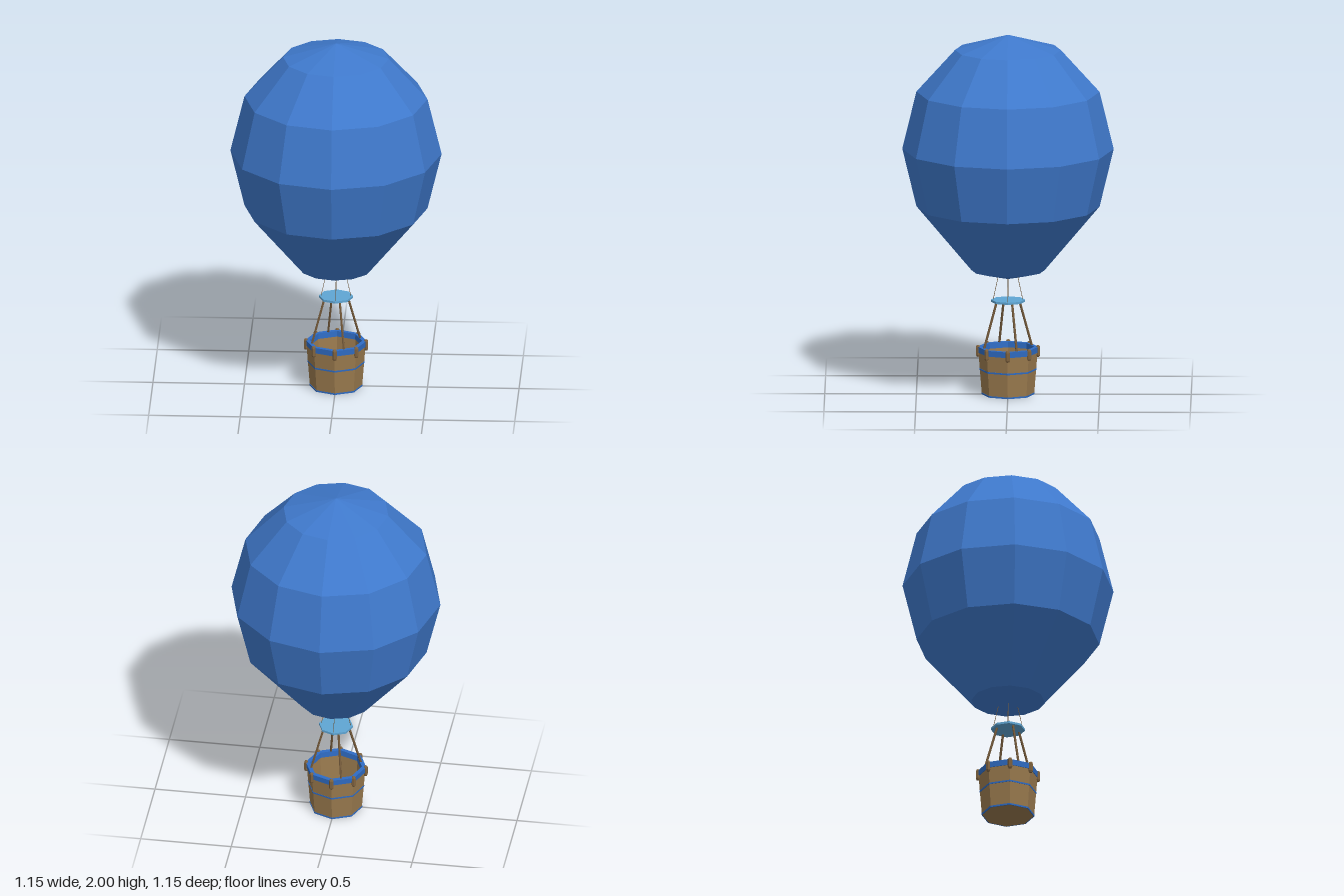
import * as THREE from 'three';

function material(name, color, side = THREE.FrontSide) {
  const m = new THREE.MeshStandardMaterial({ color, flatShading: true, side });
  m.name = name;
  return m;
}

export function createModel() {
  const root = new THREE.Group();
  root.name = 'hotAirBalloon';

  const envelopeBlue = material('envelope blue', 0x3f79cc);
  const trimBlue = material('trim blue', 0x2f6cc4);
  const plateBlue = material('plate light blue', 0x5fa6d4);
  const wicker = material('basket brown', 0x9a7a4e);
  const wood = material('peg brown', 0x80633f);
  const rope = material('rope brown', 0x73593a);

  const add = (name, geometry, mat, parent = root) => {
    const mesh = new THREE.Mesh(geometry, mat);
    mesh.name = name;
    parent.add(mesh);
    return mesh;
  };
  // Faceted solid of revolution; profile runs from bottom to top on the outside
  const lathe = (profile, sides) =>
    new THREE.LatheGeometry(profile.map(([r, y]) => new THREE.Vector2(r, y)), sides);
  // Straight rod between two points
  const rod = (name, a, b, radius, mat) => {
    const dir = b.clone().sub(a);
    const mesh = add(name, new THREE.CylinderGeometry(radius, radius, dir.length(), 6), mat);
    mesh.position.copy(a).add(b).multiplyScalar(0.5);
    mesh.quaternion.setFromUnitVectors(new THREE.Vector3(0, 1, 0), dir.normalize());
  };
  // Point at an angle measured from the front towards +x
  const polar = (angle, r, y) => new THREE.Vector3(Math.sin(angle) * r, y, Math.cos(angle) * r);

  // Envelope: twelve gores with a closed, shallow cone underneath
  add('envelope', lathe([
    [0, 0.64], [0.2, 0.69], [0.5, 1.045], [0.577, 1.365],
    [0.5, 1.683], [0.289, 1.915], [0, 2],
  ], 12), envelopeBlue);

  // Basket: hollow octagonal tub
  add('basket', lathe([
    [0, 0.001], [0.143, 0.001], [0.162, 0.245], [0.146, 0.245], [0.13, 0.015], [0, 0.015],
  ], 8), wicker);

  // Blue rim and the two thin bands around the tub
  add('basketRim', lathe([
    [0.145, 0.232], [0.165, 0.232], [0.167, 0.264], [0.143, 0.264], [0.141, 0.232], [0.145, 0.232],
  ], 8), trimBlue);
  for (const [name, y, r] of [['lowerBand', 0, 0.143], ['middleBand', 0.135, 0.1538]]) {
    add(name, lathe([
      [r - 0.003, y], [r + 0.002, y], [r + 0.0025, y + 0.009], [r - 0.003, y + 0.009],
    ], 8), trimBlue);
  }

  // Rounded pegs on the rim corners
  for (let i = 0; i < 8; i++) {
    const peg = add('rimPeg', new THREE.CapsuleGeometry(0.0125, 0.043, 2, 6), wood);
    peg.position.copy(polar(i * Math.PI / 4, 0.164, 0.24));
    peg.rotation.y = i * Math.PI / 4;
  }

  // Octagonal plate between basket and envelope
  add('plate', lathe([[0, 0.514], [0.093, 0.514], [0.093, 0.526], [0, 0.526]], 8), plateBlue);

  for (let i = 0; i < 4; i++) {
    const quarter = i * Math.PI / 2;
    // Thick ropes from the rim to the plate
    const a = quarter + 0.36;
    rod('basketRope', polar(a, 0.146, 0.235), polar(a, 0.066, 0.516), 0.0065, rope);
    // Fine cords from the plate to the envelope
    rod('envelopeCord', polar(quarter, 0.082, 0.522), polar(quarter, 0.052, 0.66), 0.0015, rope);
  }

  return root;
}
